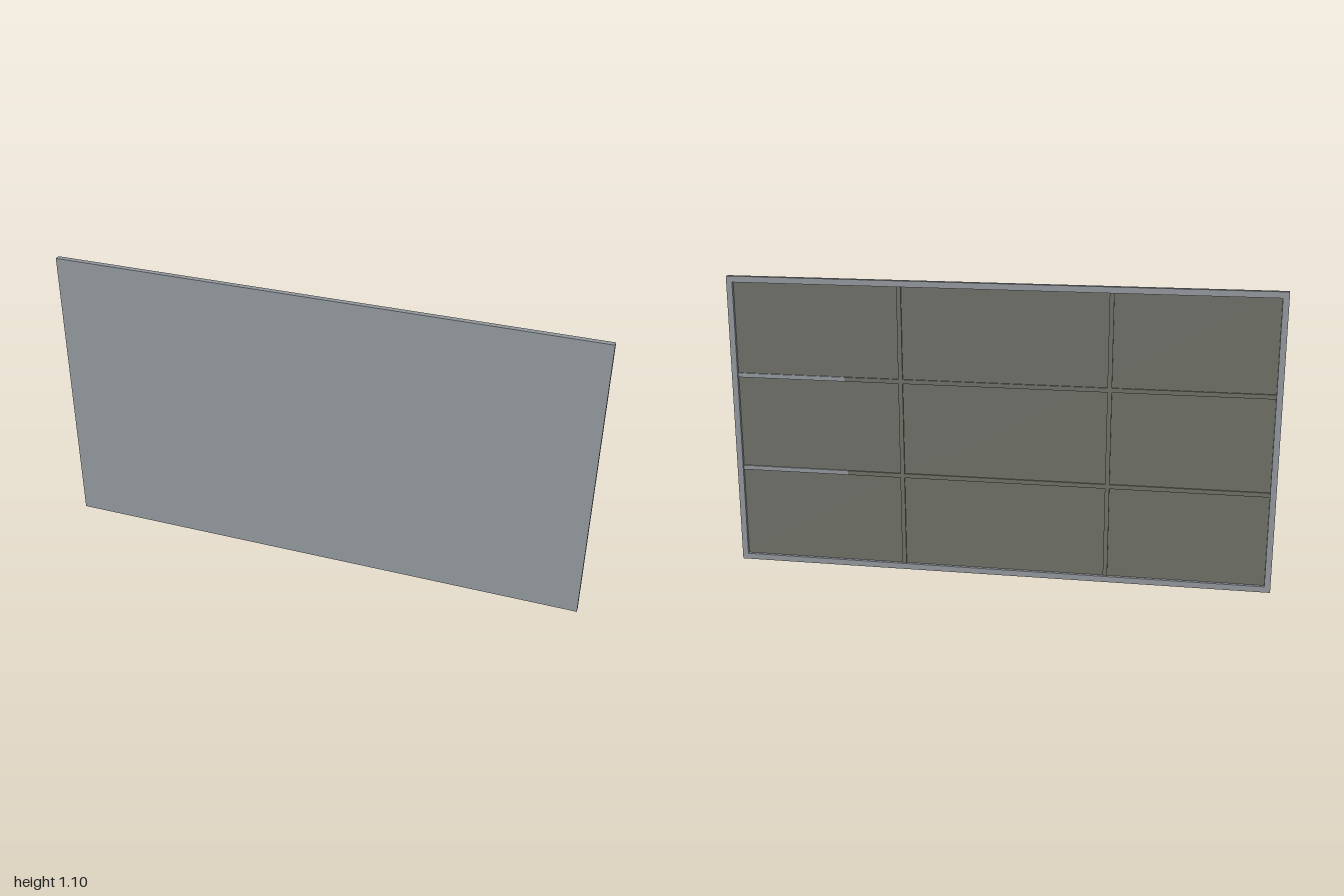
import * as THREE from 'three';

const W = 2, H = 1.1, BACK = -0.01, FRONT = 0.01;
const RIM = 0.022;        // frame width
const FLOOR = 0.002;      // z of the recessed back panel
const BAR_TOP = -0.004;   // z of the stiffener bars' outer face

export function createModel() {
  const group = new THREE.Group();
  const metal = new THREE.MeshStandardMaterial({ color: 0x90959b });
  metal.name = 'grey metal';
  const olive = new THREE.MeshStandardMaterial({ color: 0x6c6d64 });
  olive.name = 'olive grey';

  // Box given by its minimum and maximum corners
  const box = (name, mat, x0, x1, y0, y1, z0, z1) => {
    const mesh = new THREE.Mesh(new THREE.BoxGeometry(x1 - x0, y1 - y0, z1 - z0), mat);
    mesh.position.set((x0 + x1) / 2, (y0 + y1) / 2, (z0 + z1) / 2);
    mesh.name = name;
    group.add(mesh);
  };

  const inX = W / 2 - RIM;

  // Frame with one rectangular opening
  const outline = new THREE.Shape([
    new THREE.Vector2(-W / 2, 0), new THREE.Vector2(W / 2, 0),
    new THREE.Vector2(W / 2, H), new THREE.Vector2(-W / 2, H),
  ]);
  outline.holes.push(new THREE.Path([
    new THREE.Vector2(-inX, RIM), new THREE.Vector2(-inX, H - RIM),
    new THREE.Vector2(inX, H - RIM), new THREE.Vector2(inX, RIM),
  ]));
  const frame = new THREE.Mesh(
    new THREE.ExtrudeGeometry(outline, { depth: 0.016, bevelEnabled: false }), metal);
  frame.position.z = BACK;
  frame.name = 'frame';
  group.add(frame);

  // Smooth front sheet and recessed back panel
  box('frontSheet', metal, -W / 2, W / 2, 0, H, 0.006, FRONT);
  box('backPanel', olive, -inX, inX, RIM, H - RIM, FLOOR, 0.006);

  // Upright stiffeners
  for (const x of [-0.4, 0.36]) {
    box('uprightBar', olive, x - 0.008, x + 0.008, RIM, H - RIM, BAR_TOP, FLOOR);
  }

  // Cross stiffeners, with a bare metal length at the left end
  for (const y of [0.37, 0.73]) {
    box('crossBar', olive, -inX, 0.57, y - 0.008, y + 0.008, BAR_TOP + 0.0005, FLOOR);
    box('crossBarEnd', metal, 0.57, inX, y - 0.008, y + 0.008, BAR_TOP + 0.0005, FLOOR);
  }
  return group;
}
